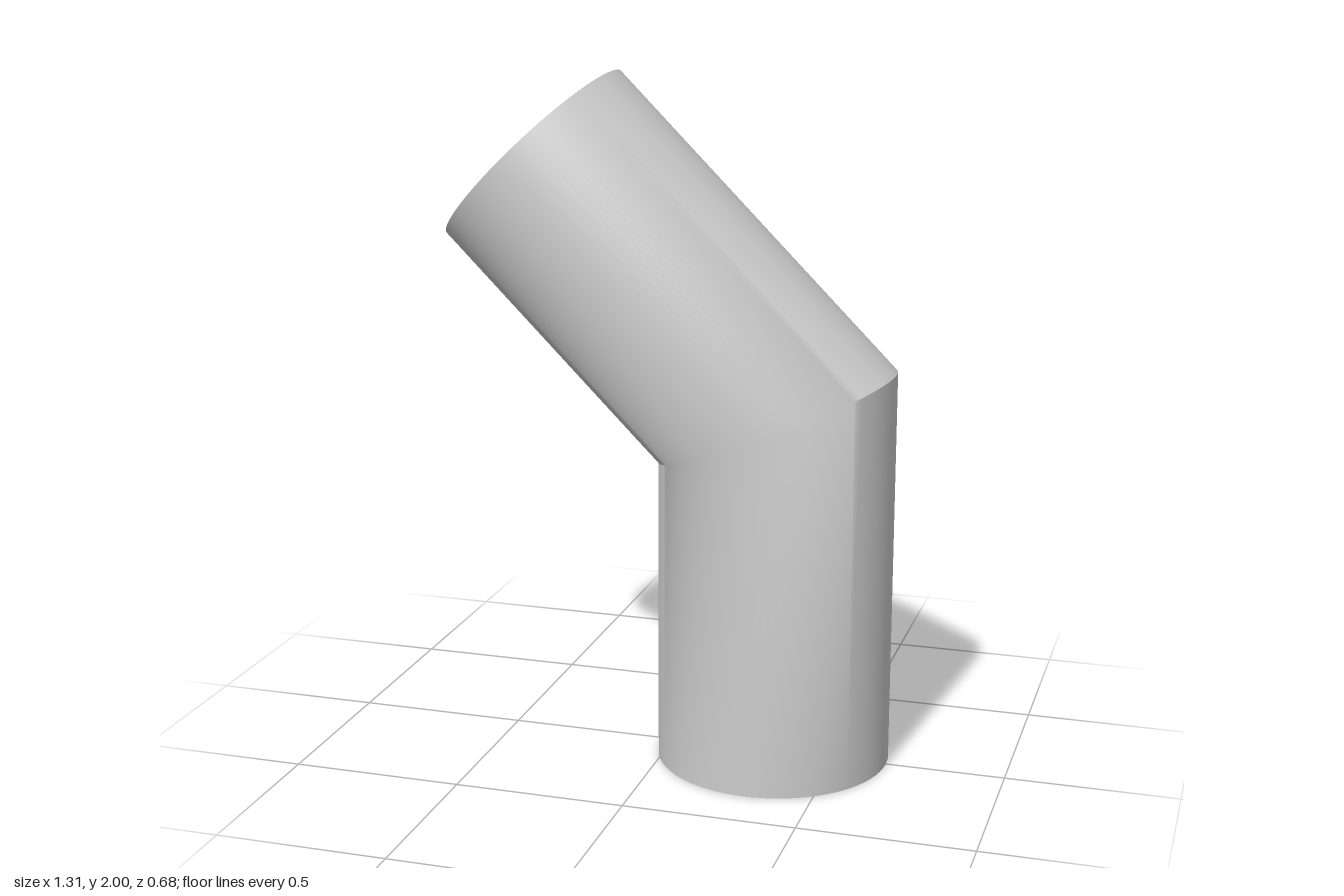
import * as THREE from 'three';
import { toCreasedNormals } from 'three/addons/utils/BufferGeometryUtils.js';

const OUTER = 0.341, INNER = 0.275; // pipe radii
const LEG = 1.03;                   // centre-line length of each leg
const BEND = Math.PI / 4;           // elbow angle
const AXIS_X = 0.31;                // centre line of the upright leg
const SEGMENTS = 96;

// Cross-sections: flat foot, mitred joint, square-cut upper end
const foot = (r, c) => [AXIS_X + r * c, 0];
const mitre = (r, c) => [AXIS_X + r * c, LEG + r * c * Math.tan(BEND / 2)];
const mouth = (r, c) => [
  AXIS_X - LEG * Math.sin(BEND) + r * c * Math.cos(BEND),
  LEG + LEG * Math.cos(BEND) + r * c * Math.sin(BEND),
];

export function createModel() {
  // Up the outside, across the rim, down the bore, and back across the foot
  const rings = [
    [foot, OUTER], [mitre, OUTER], [mouth, OUTER],
    [mouth, INNER], [mitre, INNER], [foot, INNER],
  ];
  const positions = [], indices = [];
  rings.forEach(([section, r], i) => {
    const next = (i + 1) % rings.length;
    for (let j = 0; j < SEGMENTS; j++) {
      const a = (j / SEGMENTS) * Math.PI * 2;
      positions.push(...section(r, Math.cos(a)), r * Math.sin(a));
      const k = (j + 1) % SEGMENTS;
      const p = i * SEGMENTS + j, q = i * SEGMENTS + k;
      const s = next * SEGMENTS + j, t = next * SEGMENTS + k;
      indices.push(p, s, q, q, s, t);
    }
  });

  const geometry = new THREE.BufferGeometry();
  geometry.setAttribute('position', new THREE.Float32BufferAttribute(positions, 3));
  geometry.setIndex(indices);

  // The joint is sharp at the heel and throat but blends at the sides
  const elbow = new THREE.Mesh(
    toCreasedNormals(geometry, THREE.MathUtils.degToRad(36)),
    new THREE.MeshStandardMaterial({ color: 0xcccccc }),
  );
  elbow.name = 'elbowPipe';

  const group = new THREE.Group();
  group.name = 'pipeElbow';
  group.add(elbow);
  return group;
}
